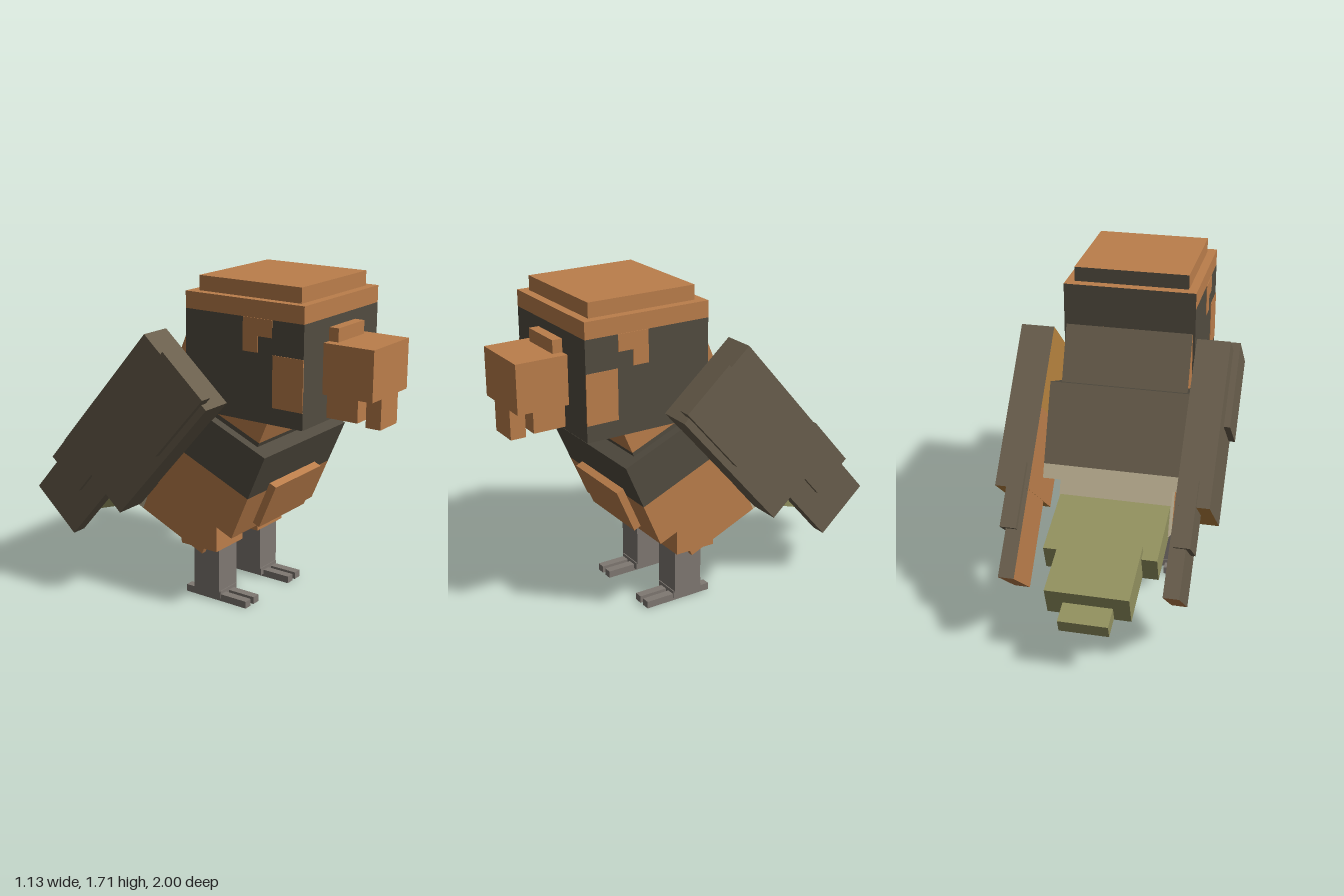
import * as THREE from 'three';

const mat = (name, color) => {
  const m = new THREE.MeshStandardMaterial({ color });
  m.name = name;
  return m;
};

export function createModel() {
  const orange = mat('orange', 0xbb7e4b);
  const slate = mat('dark grey brown', 0x524c40);
  const brown = mat('feather brown', 0x6a5f4d);
  const olive = mat('olive', 0x92915f);
  const cream = mat('cream', 0xbeb294);
  const grey = mat('leg grey', 0x7f7872);
  const ochre = mat('ochre', 0xb8843f);

  const model = new THREE.Group();
  model.name = 'bird';

  const group = (name, parent, y, z, tilt) => {
    const g = new THREE.Group();
    g.name = name;
    g.position.set(0, y, z);
    g.rotation.x = tilt;
    parent.add(g);
    return g;
  };

  // Box from [min, max] ranges; faces overrides colours by side
  const order = ['px', 'nx', 'py', 'ny', 'pz', 'nz'];
  const box = (parent, name, x, y, z, base, faces) => {
    const geo = new THREE.BoxGeometry(x[1] - x[0], y[1] - y[0], z[1] - z[0]);
    const mesh = new THREE.Mesh(geo, faces ? order.map((k) => faces[k] || base) : base);
    mesh.name = name;
    mesh.position.set((x[0] + x[1]) / 2, (y[0] + y[1]) / 2, (z[0] + z[1]) / 2);
    parent.add(mesh);
    return mesh;
  };
  const sym = (w) => [-w, w];
  const side = (s, a, b) => (s > 0 ? [a, b] : [-b, -a]);

  // Head with an orange cap
  const head = group('head', model, 0, 0, 0);
  box(head, 'face', sym(0.34), [1.04, 1.545], [0.05, 0.73], slate);
  box(head, 'crown', sym(0.34), [1.545, 1.63], [0.05, 0.73], orange, { nz: slate });
  box(head, 'cap', sym(0.295), [1.63, 1.705], [0.1, 0.685], orange, { nz: slate });

  // Beak
  box(head, 'upperBeak', sym(0.168), [1.18, 1.43], [0.73, 1.0], orange);
  box(head, 'beakRidge', sym(0.12), [1.43, 1.497], [0.73, 0.782], orange);
  box(head, 'lowerBeak', sym(0.125), [1.055, 1.18], [0.73, 0.9], orange);
  box(head, 'beakTip', sym(0.08), [1.027, 1.18], [0.92, 1.0], orange);

  // Body, tilted with the chest low; feather bands stacked from top to bottom
  const body = group('body', model, 0.8, 0.0975, 0.402);
  const bz = [-0.38, 0.38];
  box(body, 'upperBody', sym(0.375), [0, 0.2475], bz, slate, { nz: brown });
  box(body, 'lowerBody', sym(0.375), [-0.1725, 0], bz, orange, { nz: brown });
  box(body, 'belly', sym(0.375), [-0.2475, -0.1725], bz, orange, { nz: cream });
  box(body, 'chestPlate', sym(0.21), [-0.207, 0.044], [0.37, 0.421], orange);
  box(body, 'collar', sym(0.328), [0.2475, 0.27], [-0.29, 0.3], slate, { nz: brown });
  box(body, 'neck', sym(0.328), [0.27, 0.545], [-0.29, 0.3], orange, { nz: brown });
  box(body, 'hips', sym(0.295), [-0.495, -0.2475], [-0.2, 0.222], orange);
  box(body, 'rump', sym(0.295), [-0.495, -0.2475], [-0.285, -0.2], cream, { ny: orange });
  box(body, 'hipPatch', sym(0.17), [-0.499, -0.494], [-0.06, 0.13], grey);

  // Tail segments, each narrower than the one before
  [
    ['tailBase', 0.29, 0.147, 0.46, 0.492, -0.398],
    ['tailMiddle', 0.21, 0.165, 0.335, 0.409, -0.733],
    ['tailTip', 0.125, 0.075, 0.14, 0.3115, -0.9215],
  ].forEach(([name, w, h, d, y, z]) => {
    const g = group(name, model, y, z, -0.32);
    box(g, name + 'Block', sym(w), sym(h / 2), sym(d / 2), olive);
  });

  [1, -1].forEach((s) => {
    const label = s > 0 ? 'left' : 'right';
    const inner = s > 0 ? 'nx' : 'px';
    const outer = s * 0.34;

    // Cheek and brow markings
    const plate = side(s, Math.abs(outer) - 0.002, Math.abs(outer) + 0.003);
    box(head, label + 'Cheek', plate, [1.125, 1.38], [0.56, 0.73], orange);
    box(head, label + 'Brow', plate, [1.46, 1.545], [0.39, 0.555], orange);
    box(head, label + 'BrowDrop', plate, [1.38, 1.46], [0.39, 0.475], orange);

    // Folded wing, its length running along local y
    const wing = group(label + 'Wing', model, 0.957, -0.145, 0.715);
    const wx = side(s, 0.365, 0.535);
    box(wing, 'wingUpper', wx, [0, 0.42], sym(0.245), brown, { [inner]: ochre });
    box(wing, 'wingLower', wx, [-0.42, 0], sym(0.245), brown, { [inner]: orange, ny: ochre });

    const shoulder = group(label + 'Shoulder', model, 1.105, 0.055, 0.715);
    box(shoulder, 'shoulderPlate', side(s, 0.5, 0.567), sym(0.22), sym(0.155), brown);

    const tip = group(label + 'WingTip', model, 0.542, -0.606, 0.715);
    box(tip, 'longFeathers', side(s, 0.366, 0.446), sym(0.25), sym(0.166), brown,
      { [inner]: orange, ny: orange });

    const cover = group(label + 'WingCover', model, 0.71, -0.56, 0.715);
    box(cover, 'coverFeathers', side(s, 0.388, 0.47), sym(0.166), sym(0.12), brown);

    // Thigh, shin and toes
    const leg = group(label + 'Leg', model, 0, 0, 0);
    box(leg, 'thigh', side(s, 0.07, 0.3), [0.29, 0.57], [-0.02, 0.205], orange);
    box(leg, 'shin', side(s, 0.11, 0.265), [0.05, 0.29], [0.035, 0.195], grey);
    box(leg, 'foot', side(s, 0.115, 0.26), [0.015, 0.055], [0.03, 0.2], grey);
    [0.14, 0.21].forEach((x) => {
      box(leg, 'toe', side(s, x, x + 0.045), [0, 0.038], [-0.022, 0.357], grey);
    });
  });

  return model;
}
